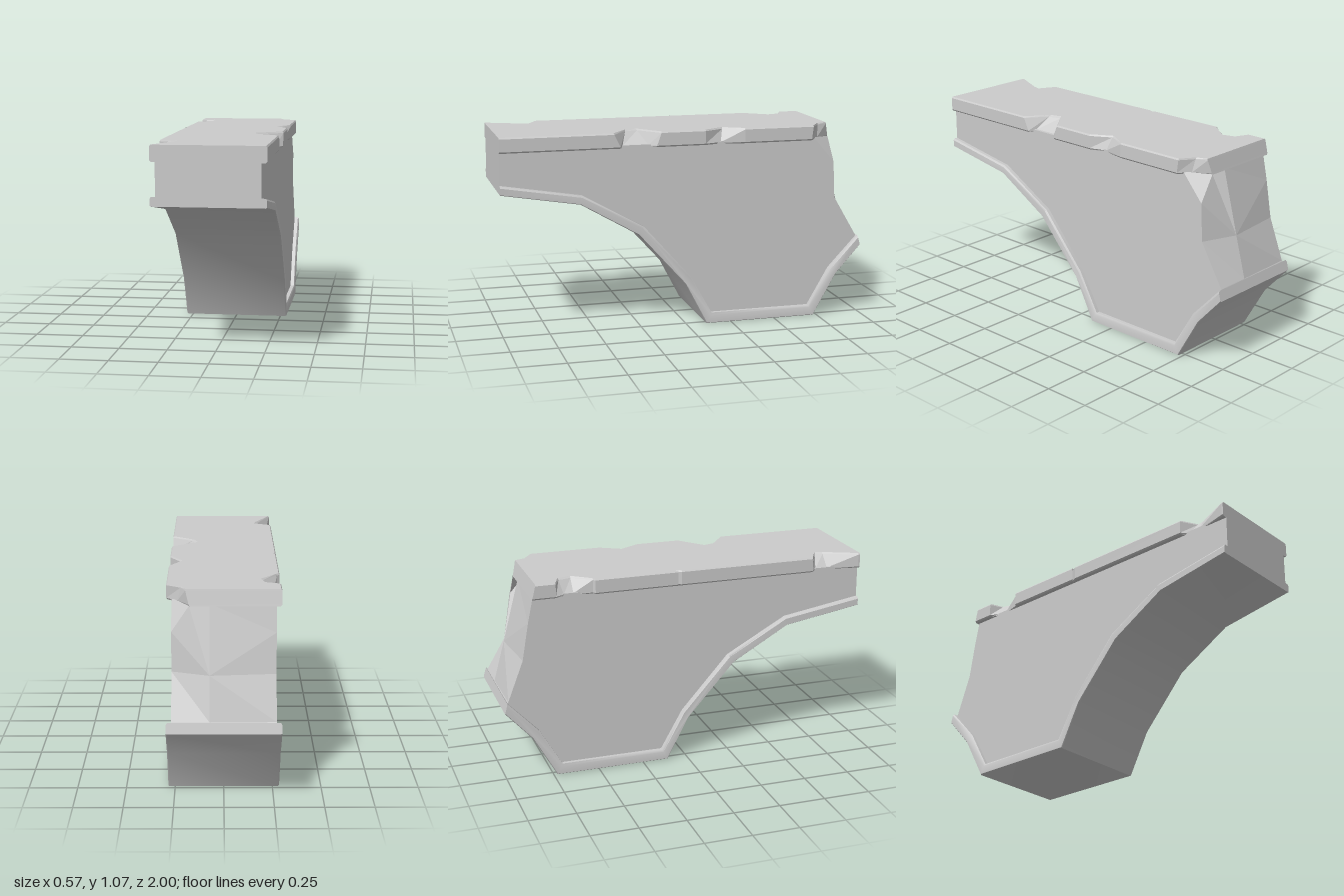
import * as THREE from 'three';
import { toCreasedNormals } from 'three/addons/utils/BufferGeometryUtils.js';

// Joins closed [u, v] loops, each at height w along an axis, and caps both ends.
function loft(layers, toXYZ) {
  const flat = pts => pts.map(p => new THREE.Vector2(p[0], p[1]));
  const flip = THREE.ShapeUtils.area(flat(layers[0].pts)) < 0;
  const loops = layers.map(l => ({ w: l.w, pts: flip ? [...l.pts].reverse() : l.pts }));
  const n = loops[0].pts.length;
  const pos = [], index = [];
  for (const { w, pts } of loops) for (const [u, v] of pts) pos.push(...toXYZ(u, v, w));
  for (let k = 0; k < loops.length - 1; k++) {
    for (let i = 0; i < n; i++) {
      const j = (i + 1) % n, a = k * n, b = a + n;
      index.push(a + i, a + j, b + j, a + i, b + j, b + i);
    }
  }
  const last = (loops.length - 1) * n;
  for (const [a, b, c] of THREE.ShapeUtils.triangulateShape(flat(loops[0].pts), [])) index.push(c, b, a);
  for (const [a, b, c] of THREE.ShapeUtils.triangulateShape(flat(loops[loops.length - 1].pts), [])) {
    index.push(last + a, last + b, last + c);
  }
  const g = new THREE.BufferGeometry();
  g.setAttribute('position', new THREE.Float32BufferAttribute(pos, 3));
  g.setIndex(index);
  return g;
}

const acrossX = (u, v, w) => [w, v, -u];
const alongY = (u, v, w) => [u, w, -v];
const side = pts => pts.map(([z, y]) => [-z, y]);
const plan = pts => pts.map(([x, z]) => [x, -z]);

export function createModel() {
  const model = new THREE.Group();
  const add = (name, geometry, flatShading) => {
    const mesh = new THREE.Mesh(geometry, new THREE.MeshStandardMaterial({ color: 0xcccccc, flatShading }));
    mesh.name = name;
    model.add(mesh);
  };

  // Underside and inner edge of the lower rim, as [z, y]
  const outer = [[1, 0.77], [0.58, 0.7], [0.27, 0.52], [0.01, 0.23], [-0.11, 0], [-0.73, 0], [-0.86, 0.23], [-1, 0.385]];
  const inner = [[1, 0.818], [0.57, 0.747], [0.24, 0.563], [-0.02, 0.27], [-0.14, 0.058], [-0.7, 0.058], [-0.82, 0.265], [-0.985, 0.44]];
  const mix = (t) => outer.map(([z, y], i) => [z + (inner[i][0] - z) * t, y + (inner[i][1] - y) * t]);

  // Lower rim with chamfered edges
  const rim = (w, a, b) => ({ w, pts: side([...mix(a), ...mix(b).reverse()]) });
  add('lowerRim', toCreasedNormals(loft([
    rim(-0.285, 0.08, 0.8), rim(-0.278, 0, 1), rim(0.278, 0, 1), rim(0.285, 0.08, 0.8),
  ], acrossX), 0.6), false);

  // Recessed body; its back is a broken face meeting at one inner point
  const body = (w, back) => ({ w, pts: side([...mix(0.5), ...back, [1, 1.0]]) });
  add('body', loft([
    body(-0.258, [[-0.975, 0.44], [-0.89, 0.66], [-0.855, 0.86], [-0.825, 1.0]]),
    body(0.07, [[-0.98, 0.44], [-0.92, 0.66], [-0.92, 0.66], [-0.83, 1.0]]),
    body(0.258, [[-0.98, 0.44], [-0.85, 0.66], [-0.84, 0.86], [-0.72, 1.0]]),
  ], acrossX).toNonIndexed(), true);

  // Top slab outline as [x, z] with chipped edges; chips are shallower at the bottom
  const e = 0.285;
  const top = [
    [-e, 1], [e, 1],
    [e, 0.4], [0.165, 0.31], [0.145, 0.25], [e, 0.14],
    [e, -0.1], [0.22, -0.21], [e, -0.32],
    [e, -0.71], [0.21, -0.76], [0.19, -0.815], [-e, -0.815],
    [-e, -0.71], [-0.21, -0.68], [-0.19, -0.61], [-0.27, -0.51], [-e, -0.5],
    [-e, -0.05], [-0.272, -0.06], [-e, -0.03],
    [-e, 0.72], [-0.19, 0.77], [-0.2, 0.81], [-e, 0.99],
  ];
  const low = top.map(([x, z]) => [...[x, z]]);
  const change = { 2: [e, 0.36], 3: [0.258, 0.35], 4: [0.258, 0.2], 5: [e, 0.17], 6: [e, -0.1], 7: [0.258, -0.19],
    9: [e, -0.7], 10: [0.23, -0.75], 11: [0.17, -0.835], 12: [-e, -0.835],
    14: [-0.262, -0.66], 15: [-0.258, -0.61], 22: [-0.255, 0.75], 23: [-0.255, 0.82] };
  for (const i in change) low[i] = change[i];
  const slab = (y, t, s) => ({ w: y, pts: plan(top.map(([x, z], i) =>
    [(low[i][0] + (x - low[i][0]) * t) * s, low[i][1] + (z - low[i][1]) * t])) });
  add('topSlab', loft([
    slab(0.987, 0, 0.975), slab(0.995, 0.1, 1), slab(1.062, 0.9, 1), slab(1.07, 1, 0.98),
  ], alongY).toNonIndexed(), true);

  // Broken underside of the slab's back corner
  const shard = new THREE.BufferGeometry();
  shard.setAttribute('position', new THREE.Float32BufferAttribute([
    0.258, 0.86, -0.84, 0.258, 1.0, -0.72, 0.17, 0.99, -0.835,
    0.258, 0.86, -0.84, 0.17, 0.99, -0.835, 0.07, 0.66, -0.92,
  ], 3));
  shard.computeVertexNormals();
  add('brokenCorner', shard, true);
  model.getObjectByName('brokenCorner').material.side = THREE.DoubleSide;

  return model;
}
